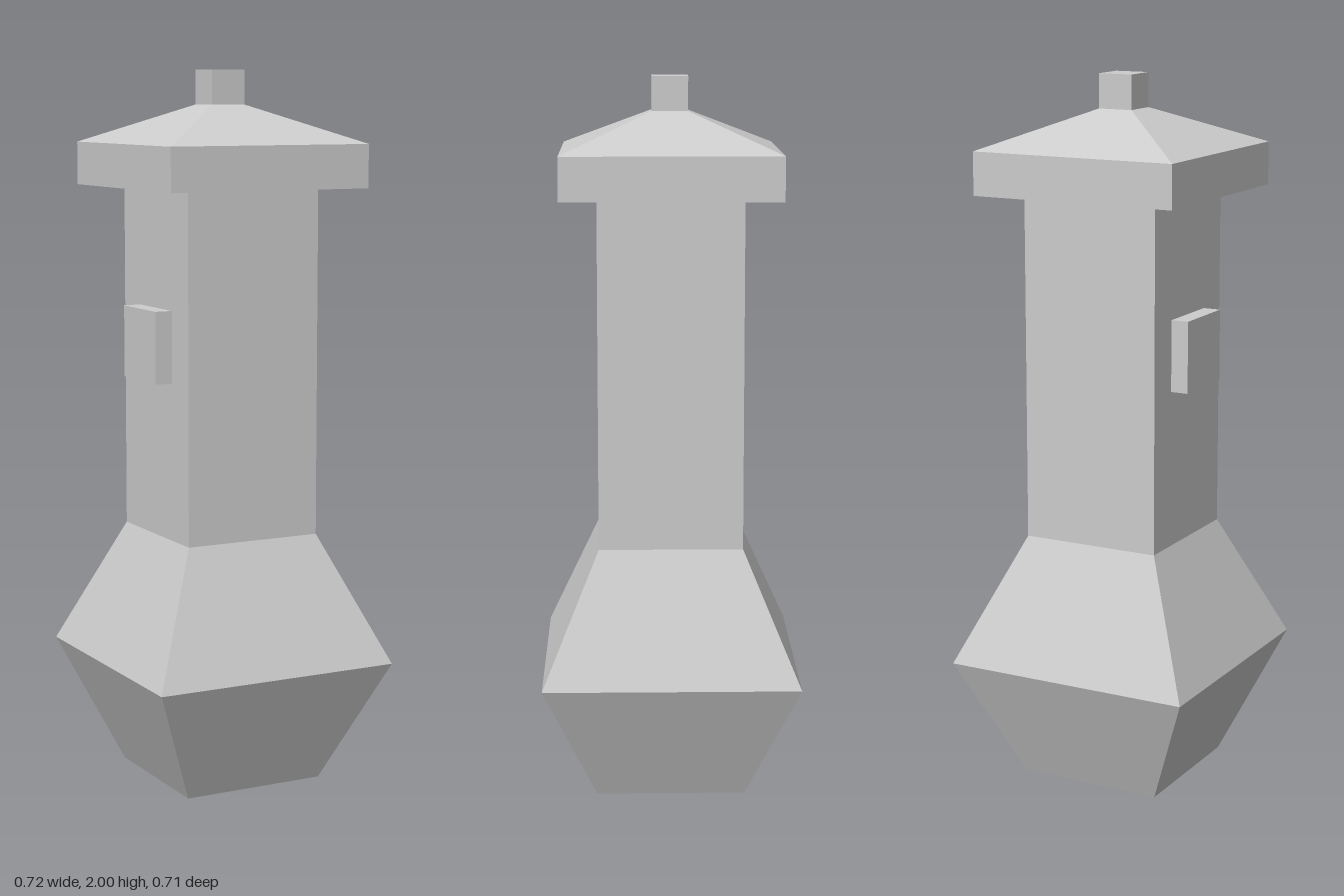
import * as THREE from 'three';

// Four-sided block between heights y0 and y1, with [halfX, halfZ] at its foot and its head.
function frustum(y0, y1, foot, head = foot) {
  const geometry = new THREE.BoxGeometry(2, 1, 2);
  const p = geometry.attributes.position;
  for (let i = 0; i < p.count; i++) {
    const isHead = p.getY(i) > 0;
    const [halfX, halfZ] = isHead ? head : foot;
    p.setXYZ(i, p.getX(i) * halfX, isHead ? y1 : y0, p.getZ(i) * halfZ);
  }
  geometry.computeVertexNormals(); // faces keep their own corners, so edges stay sharp
  return geometry;
}

export function createModel() {
  const group = new THREE.Group();
  group.name = 'chimneyTower';
  const stone = new THREE.MeshStandardMaterial({ name: 'pale grey stone', color: 0xcccccc });

  const add = (name, geometry) => {
    const mesh = new THREE.Mesh(geometry, stone);
    mesh.name = name;
    group.add(mesh);
    return mesh;
  };

  const waist = [0.36, 0.356];
  const shaft = [0.2, 0.2];
  const eaves = [0.3, 0.3];
  const peak = [0.05, 0.05];

  // Base flares out to the waist, then narrows to the shaft
  add('lowerBase', frustum(0, 0.35, [0.208, 0.208], waist));
  add('upperBase', frustum(0.35, 0.71, waist, shaft));
  add('shaft', frustum(0.71, 1.68, shaft));

  // Overhanging cap with a sloped roof and a square finial
  add('capSlab', frustum(1.68, 1.8, eaves));
  add('roof', frustum(1.8, 1.905, eaves, peak));
  add('finial', frustum(1.905, 2, peak));

  // Raised plate on the right-hand wall of the shaft
  add('wallPlate', new THREE.BoxGeometry(0.05, 0.2, 0.2)).position.set(-0.225, 1.25, 0);

  return group;
}
